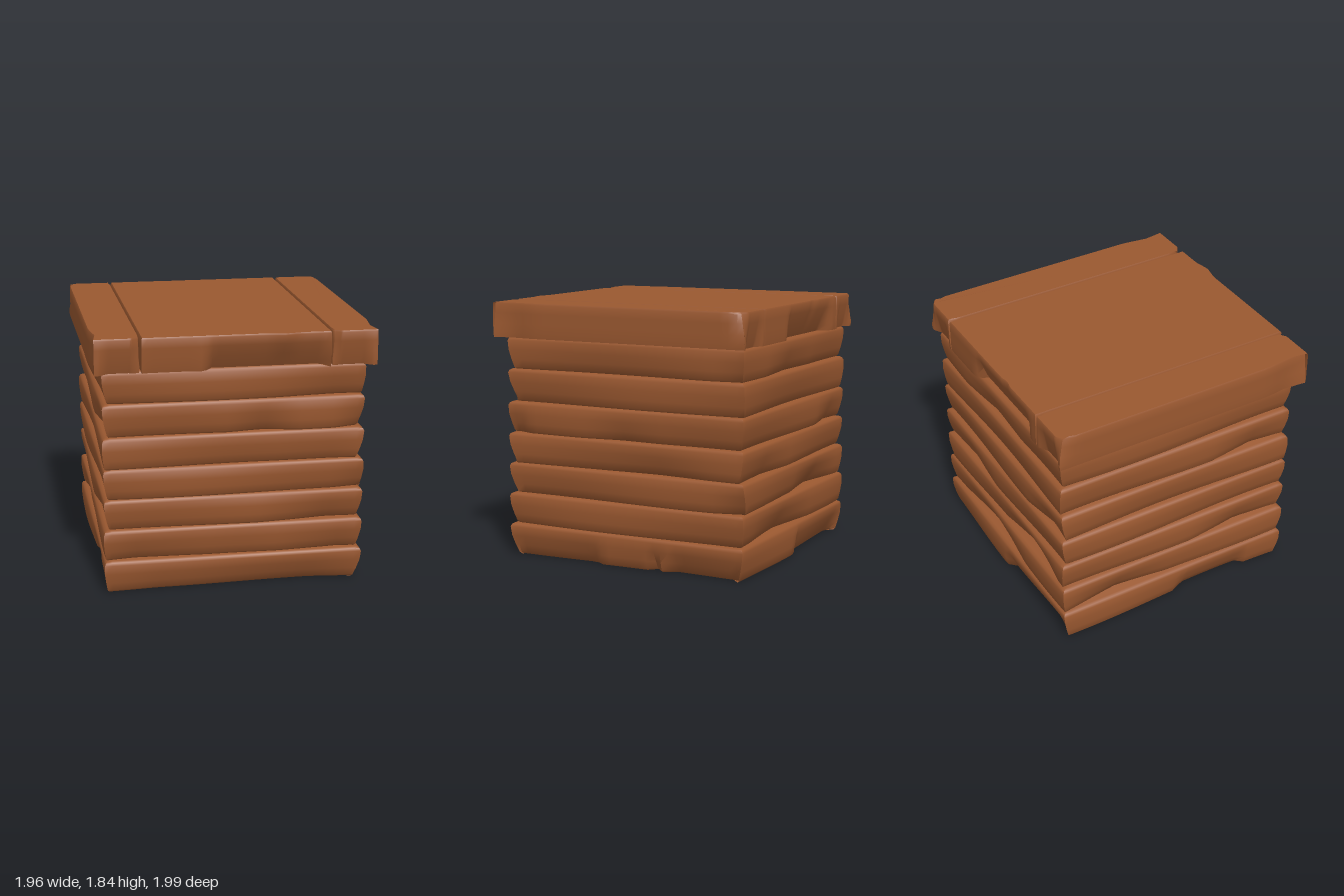
import * as THREE from 'three';
import { toCreasedNormals } from 'three/addons/utils/BufferGeometryUtils.js';

const SEG = 32; // points along each side of an outline

// How strongly a dent acts at height v (0 bottom, 1 top)
const weights = {
  bottom: v => Math.max(0, 1 - v * 1.2),
  top: v => Math.max(0, v * 1.2 - 0.2),
  full: () => 1,
};

// Inward cut of one side at position u; dents are [side, centre, halfWidth, depth, sharpness, weight]
function cut(dents, side, u, v) {
  let d = 0;
  for (const [s, c, w, depth, k, kind] of dents) {
    if (s !== side) continue;
    d += depth * THREE.MathUtils.clamp((1 - Math.abs(u - c) / w) * k, 0, 1) * weights[kind](v);
  }
  return d;
}

// Closed worn block: stacked rectangular loops, cut inwards by a profile and by dents.
// Sides: 0 front, 1 right (+x), 2 back, 3 left (-x). rows are [v, inset].
function wornBlock({ x0, x1, z0, z1, y0, y1, rows, dents, wave = 0, seed = 0 }) {
  const corners = [[x0, z1], [x1, z1], [x1, z0], [x0, z0]];
  const inward = [[0, -1], [-1, 0], [0, 1], [1, 0]];
  const pos = [], index = [], n = SEG * 4;
  for (const [v, base] of rows) {
    const inset = (side, u) => base + cut(dents, side, u, v)
      + wave * (1 - v) * (0.5 + 0.5 * Math.sin(u * 3.1 + side * 2.3 + seed * 1.9));
    for (let s = 0; s < 4; s++) {
      const a = corners[s], b = corners[(s + 1) % 4], p = (s + 3) % 4;
      for (let i = 0; i < SEG; i++) {
        const t = i / SEG;
        const x = a[0] + (b[0] - a[0]) * t, z = a[1] + (b[1] - a[1]) * t;
        const d = inset(s, s % 2 ? z : x);
        const e = i === 0 ? inset(p, p % 2 ? z : x) : 0;
        pos.push(x + inward[s][0] * d + inward[p][0] * e, y0 + (y1 - y0) * v,
          z + inward[s][1] * d + inward[p][1] * e);
      }
    }
  }
  for (let r = 0; r < rows.length - 1; r++) {
    for (let j = 0; j < n; j++) {
      const a = r * n + j, b = r * n + (j + 1) % n;
      index.push(a, b, b + n, a, b + n, a + n);
    }
  }
  // flat caps
  const bottom = pos.length / 3, top = bottom + 1, last = (rows.length - 1) * n;
  const cx = (x0 + x1) / 2, cz = (z0 + z1) / 2;
  pos.push(cx, y0, cz, cx, y1, cz);
  for (let j = 0; j < n; j++) {
    const k = (j + 1) % n;
    index.push(bottom, k, j, top, last + j, last + k);
  }
  const g = new THREE.BufferGeometry();
  g.setAttribute('position', new THREE.Float32BufferAttribute(pos, 3));
  g.setIndex(index);
  return toCreasedNormals(g, 0.8);
}

export function createModel() {
  const model = new THREE.Group();
  model.name = 'woodenCrate';
  const wood = new THREE.MeshStandardMaterial({ color: 0x9a5830 });
  wood.name = 'brownWood';
  const add = (name, options) => {
    const mesh = new THREE.Mesh(wornBlock(options), wood);
    mesh.name = name;
    model.add(mesh);
  };

  // Seven stacked wall planks with their individual chips
  const levels = [0, 0.235, 0.46, 0.68, 0.9, 1.125, 1.36, 1.59];
  const chips = [
    [[0, 0, 1.1, 0.05, 2, 'bottom'], [1, 0.55, 0.4, 0.05, 6, 'bottom'], [1, -0.27, 0.04, 0.06, 3, 'bottom'],
      [1, -0.65, 0.3, 0.05, 6, 'bottom'], [2, -0.45, 0.45, 0.06, 8, 'bottom'], [3, 0.3, 0.3, 0.05, 6, 'bottom']],
    [[0, -0.7, 0.5, 0.04, 1, 'bottom'], [0, 0.75, 0.45, 0.05, 1, 'bottom'], [2, 0.2, 0.5, 0.05, 1, 'bottom'],
      [3, -0.5, 0.4, 0.05, 1, 'bottom']],
    [[0, 0.65, 0.5, 0.05, 1, 'bottom'], [1, -0.95, 0.25, 0.05, 1, 'bottom'], [2, -0.4, 0.4, 0.06, 1, 'bottom'],
      [3, 0.5, 0.4, 0.05, 1, 'bottom']],
    [[0, 0.9, 0.2, 0.03, 1, 'bottom'], [1, -0.3, 0.4, 0.02, 1, 'bottom'], [2, 0.5, 0.4, 0.04, 1, 'bottom']],
    [[0, 0.7, 0.4, 0.02, 1, 'bottom'], [1, 0.85, 0.12, 0.04, 1, 'bottom'], [1, 0, 0.3, 0.03, 1, 'bottom'],
      [2, -0.7, 0.3, 0.05, 1, 'bottom']],
    [[0, 0.2, 0.25, 0.05, 1, 'bottom'], [0, 0.9, 0.2, 0.05, 1, 'bottom'], [3, 0.6, 0.35, 0.05, 1, 'bottom']],
    [[0, 0.7, 0.4, 0.02, 1, 'bottom'], [1, -0.9, 0.2, 0.03, 1, 'bottom'], [2, 0.1, 0.4, 0.04, 1, 'bottom']],
  ];
  const plankRows = [[0, 0.025], [0.06, 0.014], [0.3, 0.006], [0.6, 0], [0.88, 0.003], [0.96, 0.012], [1, 0.03]];
  chips.forEach((dents, i) => add('wallPlank' + (i + 1), {
    x0: -0.92, x1: 0.915, z0: -0.96, z1: 0.9, y0: levels[i], y1: levels[i + 1],
    rows: plankRows, dents, wave: 0.03, seed: i,
  }));

  // Lid: a wide middle board and two narrow side boards
  const lid = { z0: -0.99, z1: 0.975, y0: 1.588, y1: 1.835 };
  const lidRows = [[0, 0.004], [0.15, 0], [0.4, 0], [0.7, 0], [0.95, 0], [1, 0.006]];
  add('lidMiddleBoard', {
    ...lid, x0: -0.65, x1: 0.645, rows: lidRows,
    dents: [
      [0, 0.21, 0.43, 0.1, 9, 'bottom'], [0, -0.45, 0.3, 0.03, 2, 'bottom'], [0, 0.33, 0.12, -0.025, 1, 'top'],
      [2, -0.15, 0.4, 0.08, 8, 'bottom'], [2, -0.22, 0.06, 0.015, 1, 'top'],
    ],
  });
  for (const s of [-1, 1]) {
    const outer = s < 0 ? 3 : 1, inner = s < 0 ? 1 : 3;
    const edges = [s * 0.66, s * 0.978].sort((a, b) => a - b);
    add(s < 0 ? 'lidRightBoard' : 'lidLeftBoard', {
      ...lid, x0: edges[0], x1: edges[1], rows: lidRows,
      dents: [
        [outer, 0.975, 0.33, 0.045, 1, 'full'], [outer, -0.99, 0.1, 0.045, 1, 'top'],
        [outer, 0.99, 0.2, -0.04, 1, 'bottom'],
        [0, s * 0.8, 0.14, 0.05, 2, 'bottom'], [0, s * 0.66, 0.06, 0.04, 1, 'full'],
        [2, s * 0.98, 0.06, 0.04, 1, 'top'], [2, s * 0.82, 0.14, 0.04, 2, 'bottom'],
        [inner, 0.975, 0.08, 0.025, 1, 'top'], [inner, -0.99, 0.06, 0.02, 1, 'top'],
      ],
    });
  }
  return model;
}
